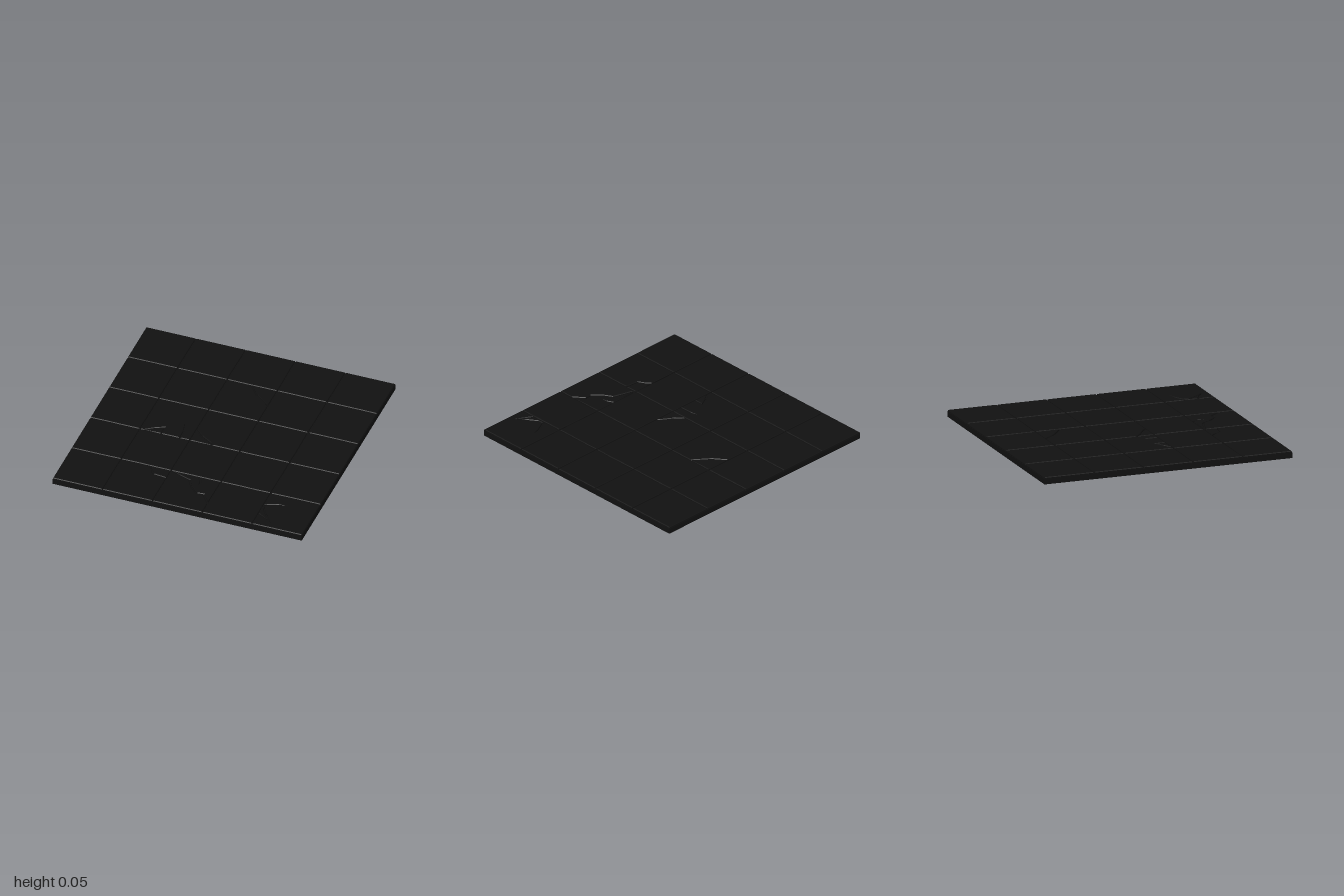
import * as THREE from 'three';

const TOP = 0.055, BASE = 0.043, BEVEL = 0.005, TILE = 0.4;

// Broken tiles, keyed "column,row": outlines of the pieces as [x, z]
const broken = {
  '2,1': [
    [[-0.196, -0.596], [-0.004, -0.596], [0.07, -0.5], [0.196, -0.404], [0.196, -0.204], [-0.196, -0.204]],
    [[0.006, -0.596], [0.196, -0.596], [0.196, -0.414], [0.078, -0.507]],
  ],
  '1,2': [
    [[-0.596, -0.196], [-0.204, -0.196], [-0.204, 0.196], [-0.274, 0.196], [-0.278, 0.1], [-0.305, 0.02],
      [-0.288, 0.1], [-0.286, 0.196], [-0.425, 0.196], [-0.428, 0.11], [-0.5, 0.145], [-0.57, 0.196], [-0.596, 0.196]],
    [[-0.55, 0.196], [-0.5, 0.157], [-0.437, 0.126], [-0.435, 0.196]],
  ],
  '2,2': [
    [[-0.196, -0.196], [0.196, -0.196], [0.196, 0.196], [-0.02, 0.196], [-0.04, 0.17], [-0.13, 0.115], [-0.196, 0.05]],
    [[-0.196, 0.066], [-0.138, 0.123], [-0.047, 0.179], [-0.034, 0.196], [-0.196, 0.196]],
  ],
  '1,4': [
    [[-0.596, 0.604], [-0.375, 0.604], [-0.34, 0.64], [-0.312, 0.694], [-0.204, 0.704], [-0.204, 0.998], [-0.596, 0.998]],
    [[-0.362, 0.604], [-0.204, 0.604], [-0.204, 0.694], [-0.305, 0.684], [-0.332, 0.635]],
  ],
  '2,4': [
    [[-0.196, 0.618], [-0.1, 0.645], [-0.03, 0.667], [0.01, 0.735], [0.075, 0.8], [0.13, 0.795], [0.196, 0.88],
      [0.196, 0.998], [-0.196, 0.998]],
    [[-0.18, 0.604], [0.025, 0.604], [0.05, 0.65], [0.055, 0.69], [0.062, 0.65], [0.04, 0.604], [0.196, 0.604],
      [0.196, 0.862], [0.137, 0.784], [0.08, 0.788], [0.018, 0.727], [-0.022, 0.657], [-0.1, 0.633]],
  ],
  '4,4': [
    [[0.604, 0.604], [0.998, 0.604], [0.998, 0.998], [0.604, 0.998], [0.604, 0.875], [0.65, 0.9], [0.73, 0.943],
      [0.685, 0.88], [0.63, 0.8], [0.628, 0.757], [0.7, 0.72], [0.77, 0.695], [0.69, 0.712], [0.604, 0.75]],
    [[0.604, 0.763], [0.617, 0.762], [0.62, 0.805], [0.665, 0.87], [0.69, 0.908], [0.604, 0.862]],
  ],
};

function seeded(seed) {
  return () => (seed = (seed * 16807) % 2147483647) / 2147483647;
}

// Square outline with slightly worn edges; outer rim stays straight
function wornSquare(col, row, rand) {
  const corners = [[0, 0], [1, 0], [1, 1], [0, 1]];
  const points = [];
  const place = (u, v) => {
    const limit = (t, cell) => {
      const p = (cell + t) * TILE - 1;
      if (t === 0) return p + (cell === 0 ? 0.002 : 0.003 + rand() * 0.003);
      if (t === 1) return p - (cell === 4 ? 0.002 : 0.003 + rand() * 0.003);
      return p;
    };
    points.push([limit(u, col), limit(v, row)]);
  };
  corners.forEach(([u, v], i) => {
    const [u2, v2] = corners[(i + 1) % 4];
    for (const t of [0, 0.3, 0.65]) place(u + (u2 - u) * t, v + (v2 - v) * t);
  });
  return points;
}

// Chamfered stone piece from an outline in plan
function pieceGeometry(points) {
  const shape = new THREE.Shape(points.map(([x, z]) => new THREE.Vector2(x, -z)));
  const bottom = 0.025;
  const geometry = new THREE.ExtrudeGeometry(shape, {
    depth: TOP - bottom - BEVEL * 2, bevelEnabled: true, bevelSegments: 1,
    bevelSize: BEVEL, bevelThickness: BEVEL, bevelOffset: -BEVEL,
  });
  return geometry.rotateX(-Math.PI / 2).translate(0, bottom + BEVEL, 0);
}

export function createModel() {
  const model = new THREE.Group();
  model.name = 'tiledFloor';
  const stone = new THREE.MeshStandardMaterial({ color: 0x111111, flatShading: true });

  // Slab under the tiles
  const slab = new THREE.Mesh(new THREE.BoxGeometry(2, BASE, 2), stone);
  slab.name = 'slab';
  slab.position.y = BASE / 2;
  model.add(slab);

  // Five by five tiles, some cracked
  const rand = seeded(71);
  for (let row = 0; row < 5; row++) {
    for (let col = 0; col < 5; col++) {
      const tile = new THREE.Group();
      const pieces = broken[`${col},${row}`];
      tile.name = pieces ? 'crackedTile' : 'tile';
      for (const outline of pieces ?? [wornSquare(col, row, rand)]) {
        const piece = new THREE.Mesh(pieceGeometry(outline), stone);
        piece.name = 'tilePiece';
        tile.add(piece);
      }
      model.add(tile);
    }
  }
  return model;
}
